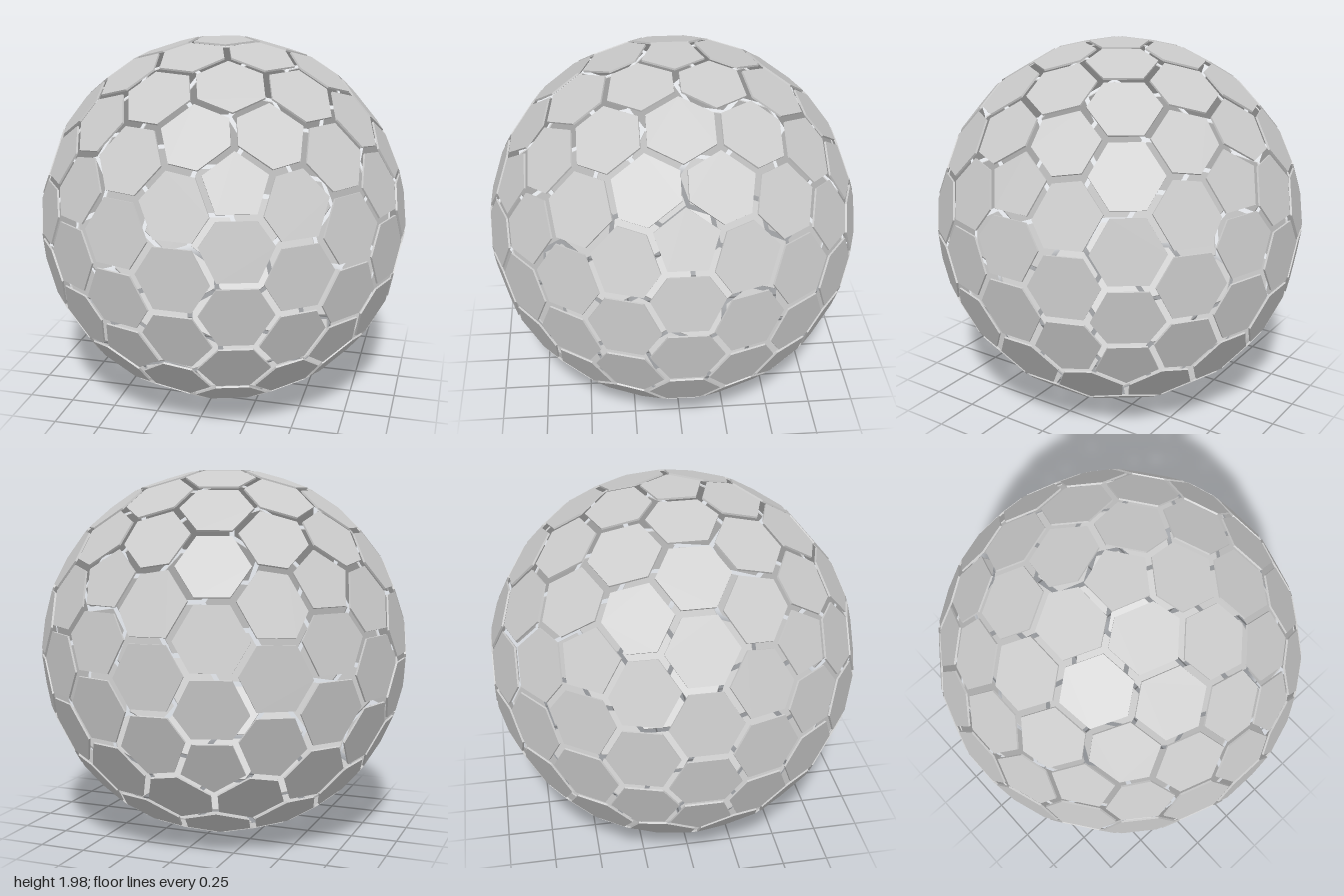
import * as THREE from 'three';

const RADIUS = 0.99;     // distance from the centre to each tile's outer face
const HALF_GAP = 0.0175; // half the open joint between tiles
const THICKNESS = 0.01;

// Twelve icosahedron corners, with one at each pole
function icosahedronCorners() {
  const corners = [new THREE.Vector3(0, 1, 0), new THREE.Vector3(0, -1, 0)];
  const y = 1 / Math.sqrt(5);
  for (let i = 0; i < 10; i++) {
    const a = (i * Math.PI) / 5;
    corners.push(new THREE.Vector3(2 * y * Math.cos(a), i % 2 ? -y : y, 2 * y * Math.sin(a)));
  }
  return corners;
}

const middle = (...points) =>
  points.reduce((sum, p) => sum.add(p), new THREE.Vector3()).normalize();

// Directions of the 122 tiles: corners, edge middles and the four small triangles of each face
function tileDirections() {
  const v = icosahedronCorners();
  const near = (a, b) => a.dot(b) > 0.4;
  const directions = [...v];
  for (let i = 0; i < 12; i++) {
    for (let j = i + 1; j < 12; j++) {
      if (!near(v[i], v[j])) continue;
      directions.push(middle(v[i], v[j]));
      for (let k = j + 1; k < 12; k++) {
        if (!near(v[i], v[k]) || !near(v[j], v[k])) continue;
        const [a, b, c] = [v[i], v[j], v[k]];
        const [ab, bc, ca] = [middle(a, b), middle(b, c), middle(c, a)];
        directions.push(middle(a, ab, ca), middle(b, ab, bc), middle(c, bc, ca), middle(ab, bc, ca));
      }
    }
  }
  return directions;
}

// Point shared by three planes that touch the unit sphere
function planesMeet(a, b, c) {
  const bc = b.clone().cross(c);
  const volume = a.dot(bc);
  return bc.add(c.clone().cross(a)).add(a.clone().cross(b)).divideScalar(volume);
}

// Flat plate bounded by the planes of its neighbours, shrunk to leave the joint
function makeTile(n, directions, material) {
  const turn = new THREE.Quaternion().setFromUnitVectors(new THREE.Vector3(0, 0, 1), n);
  const back = turn.clone().invert();
  const angle = (d) => {
    const p = d.clone().applyQuaternion(back);
    return Math.atan2(p.y, p.x);
  };
  const neighbours = directions
    .filter((d) => d !== n && d.dot(n) > Math.cos(THREE.MathUtils.degToRad(25)))
    .sort((a, b) => angle(a) - angle(b));

  const apothem = neighbours.reduce((s, d) => s + Math.tan(d.angleTo(n) / 2), 0) / neighbours.length;
  const scale = RADIUS - HALF_GAP / apothem;
  const outline = neighbours.map((d, i) => {
    const next = neighbours[(i + 1) % neighbours.length];
    const p = planesMeet(n, d, next).applyQuaternion(back);
    return new THREE.Vector2(p.x * scale, p.y * scale);
  });

  const geometry = new THREE.ExtrudeGeometry(new THREE.Shape(outline), {
    depth: THICKNESS,
    bevelEnabled: false,
  });
  const tile = new THREE.Mesh(geometry, material);
  tile.name = neighbours.length === 5 ? 'pentagonTile' : 'hexagonTile';
  tile.quaternion.copy(turn);
  tile.position.copy(n).multiplyScalar(RADIUS - THICKNESS);
  return tile;
}

export function createModel() {
  const model = new THREE.Group();
  model.name = 'tiledSphere';
  const material = new THREE.MeshStandardMaterial({ color: 0xcccccc, side: THREE.DoubleSide });

  const shell = new THREE.Group();
  shell.name = 'tileShell';
  shell.position.y = RADIUS;
  const directions = tileDirections();
  for (const n of directions) shell.add(makeTile(n, directions, material));

  model.add(shell);
  return model;
}
